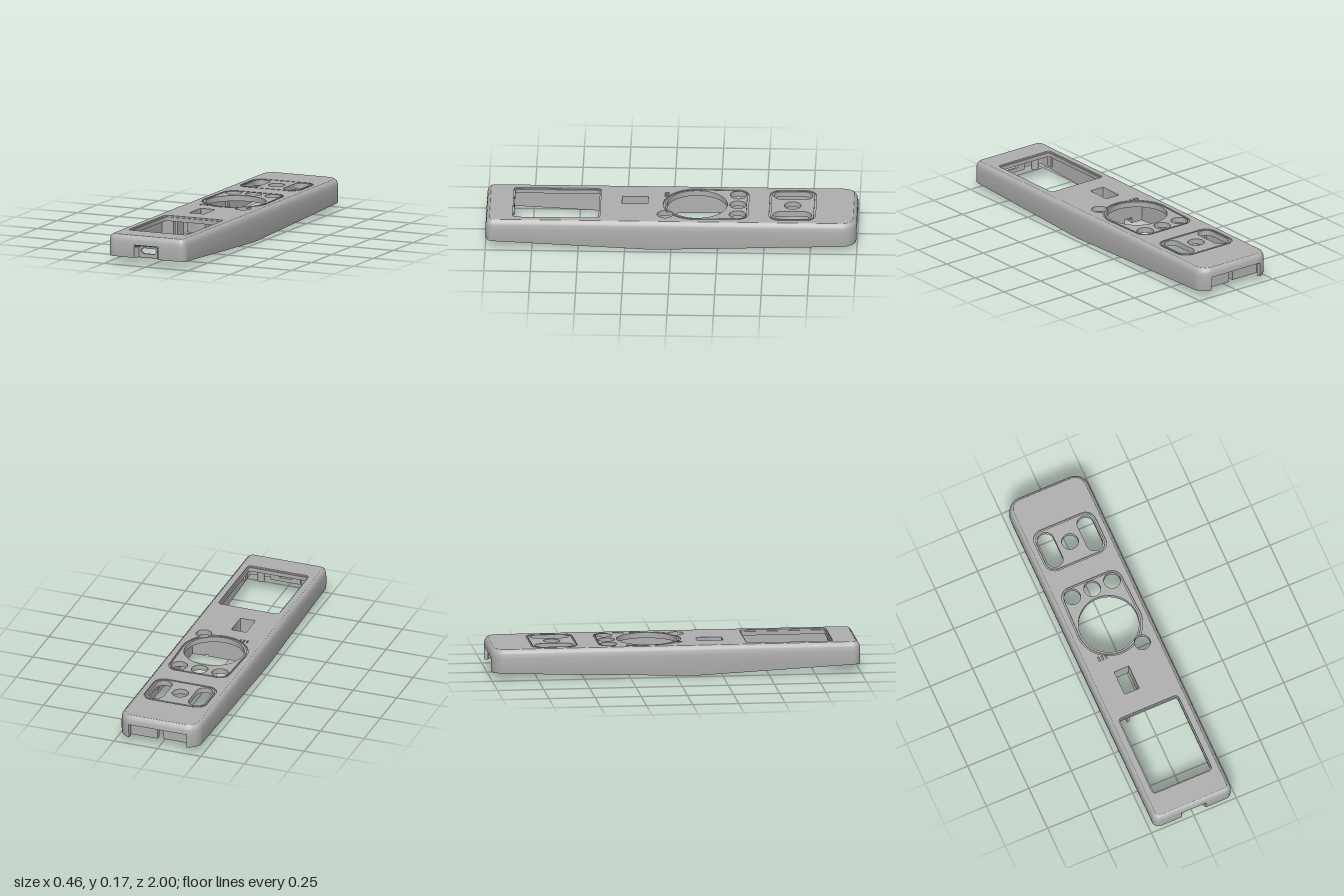
import * as THREE from 'three';
import { toCreasedNormals } from 'three/addons/utils/BufferGeometryUtils.js';

const HW = 0.23, TOP = 0.165, STEP = 0.157, CEIL = 0.135;
// underside rises from the belly towards both ends
const bottom = z => (z > 0.1 ? 0.045 * (z - 0.1) / 0.9 : 0.037 * (0.1 - z) / 1.1);

// plan outline: each entry is centre, radius and direction, so it can be inset
function outline() {
  const list = [];
  const corner = (cx, cz, r, q) => {
    for (let k = 0; k <= 8; k++) list.push({ cx, cz, r, a: (q + k / 8) * Math.PI / 2, back: r > 0.05 });
  };
  const straight = (cx, cz, q) => list.push({ cx, cz, r: 0, a: q * Math.PI / 2 });
  corner(0.19, 0.96, 0.04, 0);
  straight(HW, 0.1, 1);
  corner(0.15, -0.92, 0.08, 1);
  corner(-0.15, -0.92, 0.08, 2);
  straight(-HW, 0.1, 3);
  corner(-0.19, 0.96, 0.04, 3);
  straight(-0.072, 1, 4);
  straight(0.072, 1, 4);
  return list;
}

// side wall with thickness, leaving out the port notch and the rear opening
function shellGeometry() {
  const cols = outline(), n = cols.length;
  const rows = [[TOP, 0.022], [0.159, 0.013], [0.15, 0.006], [0.138, 0.002], [0.115, 0], [0.065, 0], [null, 0]];
  const point = (i, j, inner) => {
    const c = cols[(i + n) % n];
    const end = rows[j][0] === null;
    const at = inset => [c.cx + (c.r - inset) * Math.sin(c.a), c.cz + (c.r - inset) * Math.cos(c.a)];
    const b = bottom(at(0)[1]);
    const [x, z] = at(inner ? 0.022 : end ? 0.008 * (1 - b / 0.06) : rows[j][1]);
    return [x, end ? b : rows[j][0], z];
  };
  const solid = (i, j) => {
    if (j >= rows.length - 1) return false;
    if (j < 4) return true;
    const p = point(i, 4, false), q = point(i + 1, 4, false);
    const mx = Math.abs(p[0] + q[0]) / 2, mz = (p[2] + q[2]) / 2;
    return !(mz > 0.99 && mx < 0.05) && !(mz < -0.99 && mx < 0.16);
  };
  const pos = [];
  const quad = (a, b, c, d) => pos.push(...a, ...b, ...c, ...a, ...c, ...d);
  for (let i = 0; i < n; i++) for (let j = 0; j < rows.length - 1; j++) {
    if (!solid(i, j)) continue;
    const o = (di, dj) => point(i + di, j + dj, false), m = (di, dj) => point(i + di, j + dj, true);
    quad(o(0, 1), o(1, 1), o(1, 0), o(0, 0));
    quad(m(0, 0), m(1, 0), m(1, 1), m(0, 1));
    if (!solid(i, j + 1)) quad(o(0, 1), m(0, 1), m(1, 1), o(1, 1));
    if (!solid(i + 1, j)) quad(o(1, 0), o(1, 1), m(1, 1), m(1, 0));
    if (!solid(i - 1, j)) quad(m(0, 0), m(0, 1), o(0, 1), o(0, 0));
  }
  const g = new THREE.BufferGeometry();
  g.setAttribute('position', new THREE.Float32BufferAttribute(pos, 3));
  return toCreasedNormals(g, 0.6);
}

// plan shapes, drawn with shape y = -z
function roundRect(x, z, w, d, r) {
  const s = new THREE.Shape(), cx = w / 2 - r, cy = d / 2 - r;
  [[1, 1], [-1, 1], [-1, -1], [1, -1]].forEach(([sx, sy], q) =>
    s.absarc(x + sx * cx, -z + sy * cy, r, q * Math.PI / 2, (q + 1) * Math.PI / 2));
  return s.closePath();
}
const disc = (x, z, r) => new THREE.Shape().absarc(x, -z, r, 0, Math.PI * 2);
const SIDE = { x: 0.123, z: 0.035, r: 0.043 };

// rounded panel outline around the dial; the side button is merged in or bitten out
function dialPanel(inset, merge) {
  const s = new THREE.Shape(), R = 0.183 - inset, r = 0.06 - inset, cy = 0.135;
  const dx = SIDE.x, dy = -SIDE.z - cy, D = Math.hypot(dx, dy), f = Math.atan2(dy, dx);
  const beta = Math.acos((R * R + D * D - SIDE.r ** 2) / (2 * R * D));
  const gam = Math.acos((SIDE.r ** 2 + D * D - R * R) / (2 * SIDE.r * D));
  s.absarc(0, cy, R, Math.PI - 0.15, Math.PI * 2 + f - beta, false);
  s.absarc(SIDE.x, -SIDE.z, SIDE.r, f + Math.PI + gam, merge ? f + 3 * Math.PI - gam : f + Math.PI - gam, !merge);
  s.absarc(0, cy, R, f + beta, 0.15, false);
  s.absarc(0.115, 0.352, r, 0, Math.PI / 2, false);
  s.absarc(-0.115, 0.352, r, Math.PI / 2, Math.PI, false);
  return s.closePath();
}
function topOutline() {
  return new THREE.Shape(outline().map(c => new THREE.Vector2(
    c.cx + (c.r - 0.022) * Math.sin(c.a), -(c.cz + (c.r - 0.022) * Math.cos(c.a)))));
}

export function createModel() {
  const group = new THREE.Group();
  group.name = 'remoteTopShell';
  const grey = new THREE.MeshStandardMaterial({ color: 0xb0b0b0, side: THREE.DoubleSide });
  grey.name = 'grey plastic';
  const add = (name, geo, x = 0, y = 0, z = 0) => {
    const m = new THREE.Mesh(geo, grey);
    m.name = name;
    m.position.set(x, y, z);
    group.add(m);
    return m;
  };
  const box = (name, x0, x1, y0, y1, z0, z1) => add(name,
    new THREE.BoxGeometry(x1 - x0, y1 - y0, z1 - z0), (x0 + x1) / 2, (y0 + y1) / 2, (z0 + z1) / 2);
  const layer = (name, shape, holes, y0, y1) => {
    shape.holes.push(...holes);
    const g = new THREE.ExtrudeGeometry(shape, { depth: y1 - y0, bevelEnabled: false, curveSegments: 20 });
    add(name, toCreasedNormals(g.rotateX(-Math.PI / 2), 0.6), 0, y0);
  };
  const upright = (name, shape, holes, z, depth) => {
    shape.holes.push(...holes);
    add(name, new THREE.ExtrudeGeometry(shape, { depth, bevelEnabled: false }), 0, 0, z);
  };
  const poly = pts => new THREE.Shape(pts.map(p => new THREE.Vector2(...p)));

  add('sideWall', shellGeometry());

  // top face: lower layer with openings, upper layer and islands leave fine grooves
  const upperKeys = () => [roundRect(-0.117, -0.65, 0.09, 0.21, 0.045), disc(0, -0.65, 0.045),
    roundRect(0.117, -0.65, 0.09, 0.21, 0.045)];
  const dialKeys = () => [disc(0, -0.135, 0.163), ...[-0.117, 0, 0.117].map(x => disc(x, -0.355, 0.045))];
  const slider = () => roundRect(-0.042, 0.2, 0.086, 0.14, 0.002);
  const slots = () => [-0.13, -0.11, -0.09].map(x => roundRect(x, 0.03, 0.008, 0.026, 0.003));
  layer('topPlate', topOutline(), [...upperKeys(), ...dialKeys(), disc(SIDE.x, SIDE.z, SIDE.r), slider(),
    roundRect(0, 0.62, 0.336, 0.455, 0.012)], CEIL, STEP);
  layer('topSurface', topOutline(), [roundRect(0, -0.65, 0.36, 0.25, 0.06), dialPanel(0, true), slider(),
    ...slots(), roundRect(0, 0.62, 0.35, 0.469, 0.02)], STEP, TOP);
  layer('upperKeyPanel', roundRect(0, -0.65, 0.342, 0.232, 0.051), upperKeys(), STEP, TOP);
  layer('dialPanel', dialPanel(0.009, false), dialKeys(), STEP, TOP);

  // port recess in the front: sloped sides and a plate with a slot
  const rim = [[-0.072, 0.045], [-0.07, 0.103], [-0.055, 0.115], [0.055, 0.115], [0.07, 0.103], [0.072, 0.045]];
  const floor = [[-0.055, 0.045], [-0.055, 0.1], [-0.046, 0.106], [0.046, 0.106], [0.055, 0.1], [0.055, 0.045]];
  const pos = [];
  for (let i = 0; i < 5; i++) {
    const a = [...rim[i], 0.999], b = [...rim[i + 1], 0.999], c = [...floor[i + 1], 0.968], d = [...floor[i], 0.968];
    pos.push(...a, ...c, ...b, ...a, ...d, ...c);
  }
  const slopes = new THREE.BufferGeometry();
  slopes.setAttribute('position', new THREE.Float32BufferAttribute(pos, 3));
  slopes.computeVertexNormals();
  add('portRecessSides', slopes);
  const slot = poly([[-0.044, 0.08], [-0.032, 0.066], [0.034, 0.066], [0.046, 0.08], [0.046, 0.086],
    [0.034, 0.097], [-0.032, 0.097], [-0.044, 0.086]]);
  upright('portPlate', poly([[-0.085, 0.045], [0.085, 0.045], [0.085, 0.137], [-0.085, 0.137]]), [slot], 0.955, 0.013);

  // rear window blocks set back inside the rear opening
  box('rearBlock', 0.015, 0.185, 0.037, 0.137, -0.957, -0.93);
  box('rearBlock', -0.18, -0.015, 0.037, 0.137, -0.947, -0.92);

  // inner cross walls, slider shaft and floor tab
  upright('crossWall', poly([[-0.209, 0.003], [-0.137, 0.003], [-0.137, 0.034], [-0.09, 0.034], [-0.09, 0.003],
    [0.115, 0.003], [0.115, 0.011], [0.137, 0.011], [0.137, 0.003], [0.209, 0.003], [0.209, 0.137], [-0.209, 0.137]]),
  [], 0.085, 0.014);
  box('partition', -0.209, -0.14, 0.035, 0.137, 0.34, 0.355);
  box('partition', -0.12, -0.105, 0.035, 0.137, 0.3, 0.38);
  layer('sliderShaft', roundRect(-0.042, 0.2, 0.11, 0.164, 0.004), [slider()], 0.06, CEIL);
  box('floorTab', -0.209, -0.14, 0.004, 0.014, 0.099, 0.22);

  // screw posts and clip ribs
  for (const s of [-1, 1]) {
    add('screwPost', new THREE.CylinderGeometry(0.02, 0.02, 0.085, 16), s * 0.125, 0.0945, 0.915);
    for (const z of [-0.82, -0.46, 0.3, 0.88])
      box('clipRib', s * 0.203 - 0.007, s * 0.203 + 0.007, 0.06, 0.137, z - 0.015, z + 0.015);
  }
  return group;
}
